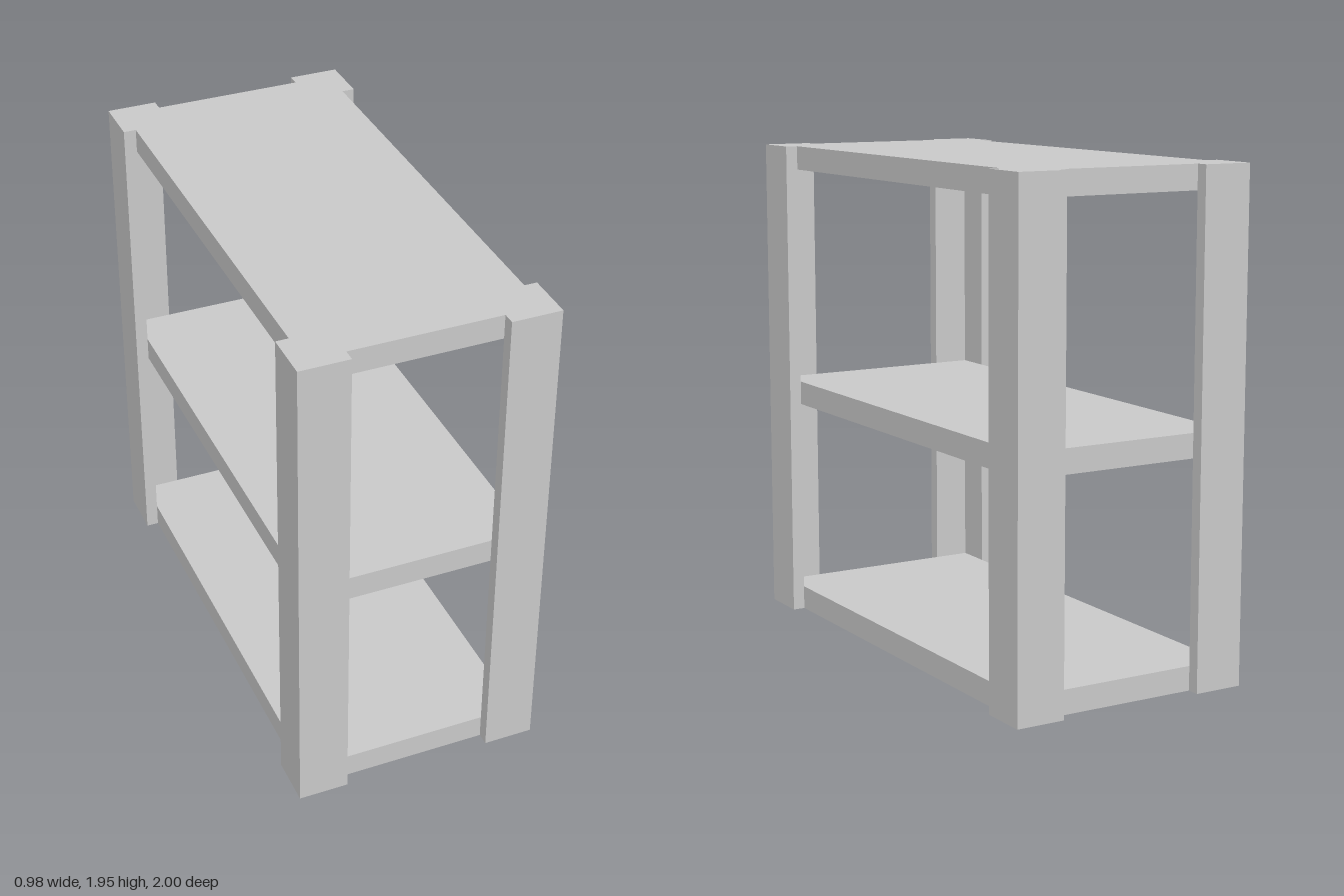
import * as THREE from 'three';

const HEIGHT = 1.953;
const OUT_X = 0.488, OUT_Z = 1;       // outer corner of the posts
const LEG = 0.195, THICK = 0.049;     // angle-post leg width and thickness
const SHELF_H = 0.095;

// L-shaped angle post wrapping one corner of the shelves
function anglePost(sx, sz, material) {
  const outline = [
    [OUT_X, OUT_Z], [OUT_X - LEG, OUT_Z], [OUT_X - LEG, OUT_Z - THICK],
    [OUT_X - THICK, OUT_Z - THICK], [OUT_X - THICK, OUT_Z - LEG], [OUT_X, OUT_Z - LEG],
  ];
  const shape = new THREE.Shape(outline.map(([x, z]) => new THREE.Vector2(sx * x, -sz * z)));
  const geometry = new THREE.ExtrudeGeometry(shape, { depth: HEIGHT, bevelEnabled: false });
  geometry.rotateX(-Math.PI / 2);
  return new THREE.Mesh(geometry, material);
}

export function createModel() {
  const group = new THREE.Group();
  group.name = 'shelvingUnit';
  const grey = new THREE.MeshStandardMaterial({ color: 0xc8c8c8 });
  grey.name = 'lightGrey';

  // Four corner posts
  for (const sx of [-1, 1]) {
    for (const sz of [-1, 1]) {
      const post = anglePost(sx, sz, grey);
      post.name = (sz > 0 ? 'front' : 'back') + (sx > 0 ? 'Left' : 'Right') + 'Post';
      group.add(post);
    }
  }

  // Three shelves, placed by the height of their top faces
  const shelfGeometry = new THREE.BoxGeometry(2 * (OUT_X - THICK), SHELF_H, 2 * (OUT_Z - THICK));
  const tops = { bottomShelf: SHELF_H, middleShelf: HEIGHT / 2, topShelf: HEIGHT };
  for (const [name, top] of Object.entries(tops)) {
    const shelf = new THREE.Mesh(shelfGeometry, grey);
    shelf.name = name;
    shelf.position.y = top - SHELF_H / 2;
    group.add(shelf);
  }
  return group;
}
